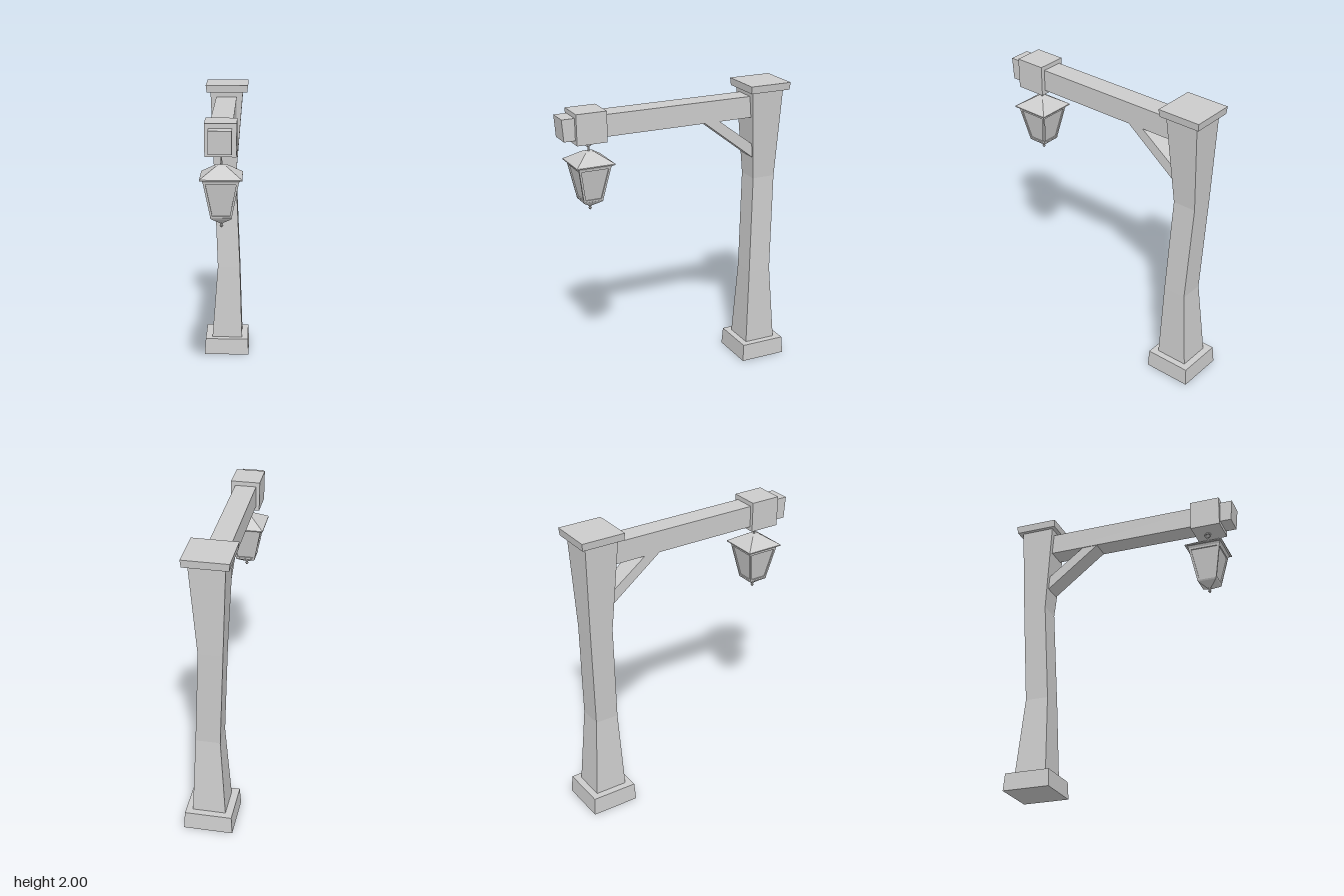
import * as THREE from 'three';

const material = new THREE.MeshStandardMaterial({ color: 0xcccccc, flatShading: true });

function add(parent, name, geometry) {
  const mesh = new THREE.Mesh(geometry, material);
  mesh.name = name;
  parent.add(mesh);
  return mesh;
}

// Stack of rectangles [y, x0, x1, z0, z1], listed bottom to top, closed at both ends
function loft(sections) {
  const pos = [];
  const corners = sections.map(([y, x0, x1, z0, z1]) =>
    [[x0, y, z1], [x1, y, z1], [x1, y, z0], [x0, y, z0]]);
  const quad = (a, b, c, d) => pos.push(...a, ...b, ...c, ...a, ...c, ...d);
  for (let i = 0; i < corners.length - 1; i++) {
    const lo = corners[i], hi = corners[i + 1];
    for (let k = 0; k < 4; k++) {
      const n = (k + 1) % 4;
      quad(lo[k], lo[n], hi[n], hi[k]);
    }
  }
  const b = corners[0], t = corners[corners.length - 1];
  quad(b[3], b[2], b[1], b[0]);
  quad(t[0], t[1], t[2], t[3]);
  const geometry = new THREE.BufferGeometry();
  geometry.setAttribute('position', new THREE.Float32BufferAttribute(pos, 3));
  geometry.computeVertexNormals();
  return geometry;
}

// Square sections [y, half width] about a vertical axis
const squareLoft = (list, x = 0, z = 0) =>
  loft(list.map(([y, h]) => [y, x - h, x + h, z - h, z + h]));

// Side profile of [z, y] points given a width along x
function sideExtrude(points, x0, x1) {
  const shape = new THREE.Shape(points.map(([z, y]) => new THREE.Vector2(z, y)));
  const geometry = new THREE.ExtrudeGeometry(shape, { depth: x1 - x0, bevelEnabled: false });
  geometry.rotateY(-Math.PI / 2);
  geometry.translate(x1, 0, 0);
  return geometry;
}

function createLantern() {
  const lantern = new THREE.Group();
  lantern.name = 'lantern';
  const yTop = 1.585, yLow = 1.35, hTop = 0.11, hLow = 0.065;
  const halfAt = y => hLow + (hTop - hLow) * (y - yLow) / (yTop - yLow);

  // Roof, eave and the band beneath it
  add(lantern, 'roof', squareLoft([[1.597, 0.13], [1.604, 0.13], [1.668, 0.033], [1.674, 0.012]]));
  add(lantern, 'eaveBand', squareLoft([[yTop - 0.005, 0.108], [1.598, 0.118]]));

  // Recessed panes inside a tapered frame
  add(lantern, 'panes', squareLoft([[yLow, hLow - 0.008], [yTop, hTop - 0.008]]));
  const bar = 0.007;
  for (const sx of [-1, 1]) for (const sz of [-1, 1]) {
    const section = y => {
      const h = halfAt(y) - bar;
      return [y, sx * h - bar, sx * h + bar, sz * h - bar, sz * h + bar];
    };
    add(lantern, 'cornerBar', loft([section(yLow), section(yTop)]));
  }
  for (const [y0, y1] of [[yLow, yLow + 0.014], [yTop - 0.014, yTop]]) {
    add(lantern, 'frameRail', squareLoft([[y0, halfAt(y0)], [y1, halfAt(y1)]]));
  }

  // Tapered floor and finial
  add(lantern, 'floor', squareLoft([[1.308, 0.012], [1.343, 0.062], [1.352, 0.067]]));
  const finial = [[0, 1.275], [0.006, 1.28], [0.012, 1.29], [0.006, 1.298], [0.013, 1.305], [0.013, 1.312], [0, 1.314]]
    .map(([r, y]) => new THREE.Vector2(r, y));
  add(lantern, 'finial', new THREE.LatheGeometry(finial, 8));

  // Hanging ring and stem
  const stem = add(lantern, 'stem', new THREE.CylinderGeometry(0.005, 0.008, 0.036, 8));
  stem.position.y = 1.686;
  const ring = add(lantern, 'ring', new THREE.TorusGeometry(0.019, 0.005, 6, 14));
  ring.rotation.y = Math.PI / 2;
  ring.position.y = 1.722;
  const hook = add(lantern, 'hook', new THREE.CylinderGeometry(0.006, 0.006, 0.02, 8));
  hook.position.y = 1.742;

  lantern.position.z = 0.6;
  return lantern;
}

export function createModel() {
  const model = new THREE.Group();
  model.name = 'lampPost';

  // Foot, crooked post and cap
  add(model, 'foot', loft([
    [0, -0.163, 0.163, -0.8, -0.474],
    [0.12, -0.155, 0.157, -0.792, -0.48],
  ]));
  add(model, 'post', loft([
    [0.12, -0.107, 0.112, -0.746, -0.524],
    [0.66, -0.067, 0.095, -0.706, -0.545],
    [1.335, -0.093, 0.064, -0.735, -0.574],
    [1.955, -0.116, 0.112, -0.757, -0.527],
  ]));
  add(model, 'cap', loft([
    [1.95, -0.142, 0.142, -0.788, -0.5],
    [2, -0.148, 0.148, -0.793, -0.496],
  ]));

  // Arm with a slanted end, its collar and the diagonal brace
  add(model, 'arm', sideExtrude([[-0.62, 1.77], [0.788, 1.77], [0.8, 1.915], [-0.62, 1.915]], -0.075, 0.068));
  add(model, 'collar', loft([
    [1.742, -0.098, 0.095, 0.507, 0.712],
    [1.945, -0.1, 0.096, 0.507, 0.714],
  ]));
  add(model, 'brace', sideExtrude([[-0.19, 1.775], [-0.3, 1.775], [-0.6, 1.55], [-0.6, 1.458]], -0.07, 0.063));

  model.add(createLantern());
  return model;
}
